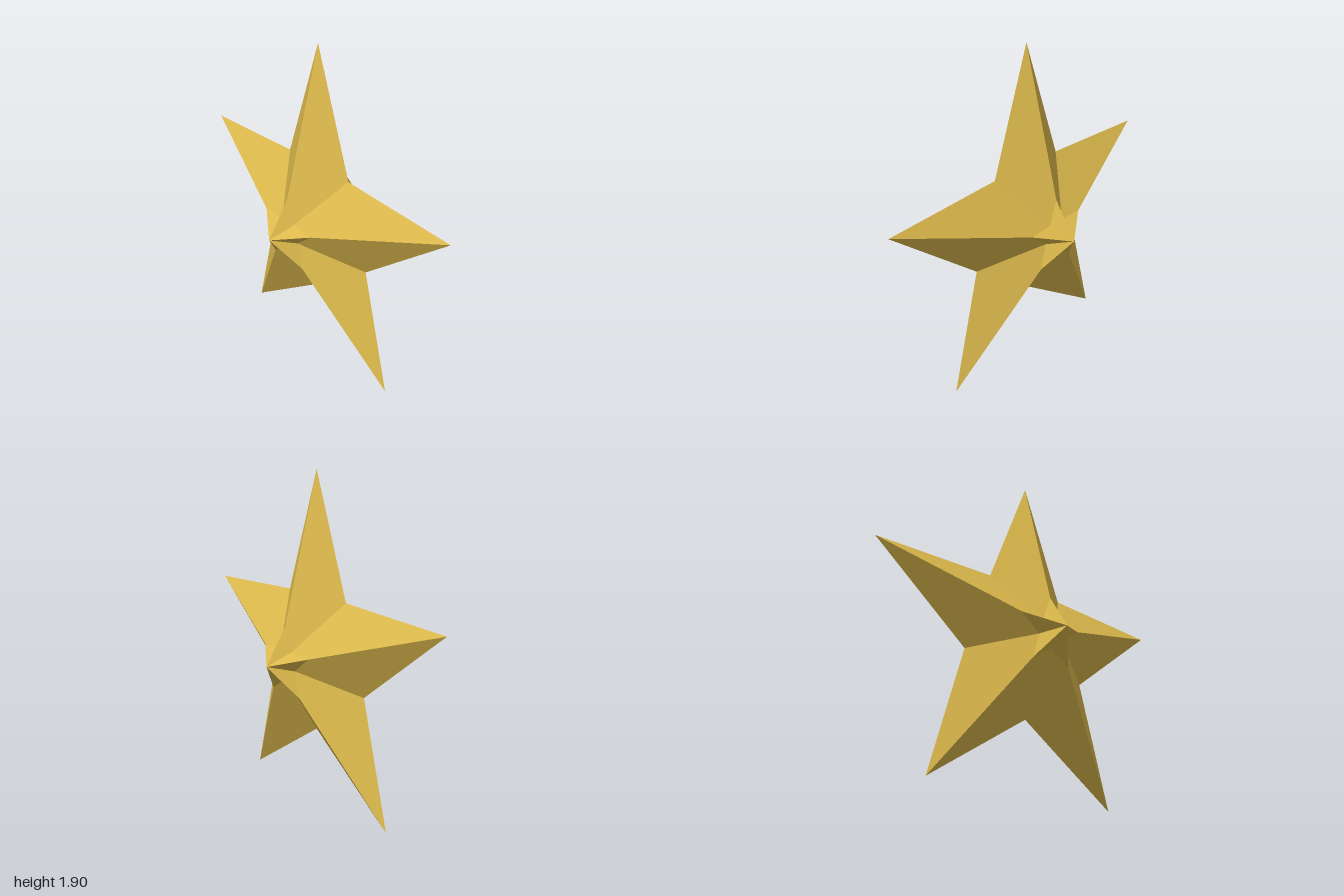
import * as THREE from 'three';

const R = 1.0515;                 // tip radius
const r = 0.44;                   // notch radius
const CY = R * Math.cos(Math.PI / 5);
const INNER = 0.205;              // scale of the small star around the peak
const INNER_Z = 0.215;
const PEAK_Z = 0.345;

// Corner i of the ten-cornered star outline, clockwise from the top tip
function corner(i, scale, z) {
  const a = (i * Math.PI) / 5;
  const rad = (i % 2 ? r : R) * scale;
  return [Math.sin(a) * rad, CY + Math.cos(a) * rad, z];
}

// One faceted half: side = 1 for front, -1 for back
function halfGeometry(build, side) {
  const pos = [];
  const tri = (a, b, c) => pos.push(...a, ...(side > 0 ? b : c), ...(side > 0 ? c : b));
  for (let i = 0; i < 10; i++) build(tri, i, i + 1, side);
  const g = new THREE.BufferGeometry();
  g.setAttribute('position', new THREE.Float32BufferAttribute(pos, 3));
  g.computeVertexNormals();
  return g;
}

// Sloping facets of the five arms
function armFacets(tri, i, j, side) {
  const a = corner(i, 1, 0), b = corner(j, 1, 0);
  const c = corner(i, INNER, side * INNER_Z), d = corner(j, INNER, side * INNER_Z);
  tri(b, a, c);
  tri(b, c, d);
}

// Steeper facets rising to the central peak
function peakFacets(tri, i, j, side) {
  tri(corner(j, INNER, side * INNER_Z), corner(i, INNER, side * INNER_Z), [0, CY, side * PEAK_Z]);
}

export function createModel() {
  const gold = new THREE.MeshStandardMaterial({ color: 0xdcb94c });
  gold.name = 'gold';
  gold.flatShading = true;

  const star = new THREE.Group();
  star.name = 'star';
  for (const [label, side] of [['front', 1], ['back', -1]]) {
    for (const [part, build] of [['Arms', armFacets], ['Peak', peakFacets]]) {
      const mesh = new THREE.Mesh(halfGeometry(build, side), gold);
      mesh.name = label + part;
      star.add(mesh);
    }
  }
  return star;
}
